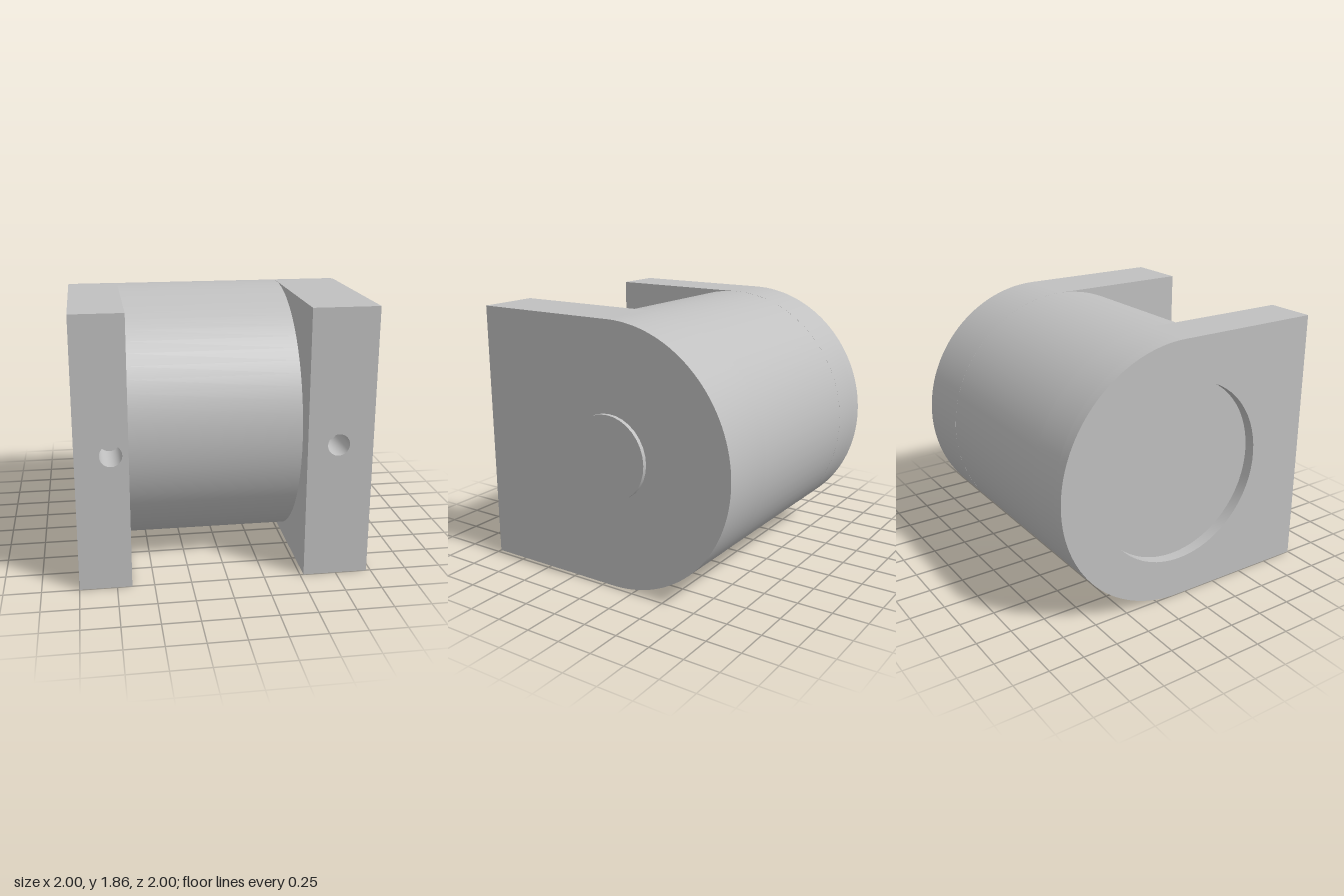
import * as THREE from 'three';
import { toCreasedNormals } from 'three/addons/utils/BufferGeometryUtils.js';

const R = 0.928, CY = 0.928, CZ = -0.07; // barrel radius and axis
const SPLIT = 0.7;                       // z where the drilled front blocks begin

export function createModel() {
  const group = new THREE.Group();
  const grey = new THREE.MeshStandardMaterial({ color: 0xc0c0c0 });
  grey.name = 'greyMetal';

  const add = (name, geometry, parent = group) => {
    const mesh = new THREE.Mesh(geometry, grey);
    mesh.name = name;
    parent.add(mesh);
    return mesh;
  };

  const circle = (x, y, r) => {
    const path = new THREE.Path();
    path.absarc(x, y, r, 0, Math.PI * 2, true);
    return path;
  };

  // D-shaped plate in the side plane, extruded along x from x0 to x1
  const plateGeometry = (x0, x1, holeRadius = 0) => {
    const s = new THREE.Shape();
    s.moveTo(-SPLIT, 0);
    s.lineTo(-CZ, 0);
    s.absarc(-CZ, CY, R, -Math.PI / 2, Math.PI / 2, false);
    s.lineTo(-SPLIT, 2 * R);
    s.closePath();
    if (holeRadius) s.holes.push(circle(-CZ, CY, holeRadius));
    const g = new THREE.ExtrudeGeometry(s, { depth: x1 - x0, bevelEnabled: false, curveSegments: 32 });
    g.rotateY(Math.PI / 2).translate(x0, 0, 0);
    return toCreasedNormals(g, 0.5);
  };

  // Front block of a plate, with a blind screw hole facing forward
  const blockGeometry = (x0, x1, holeX) => {
    const s = new THREE.Shape();
    s.moveTo(x0, 0);
    s.lineTo(x1, 0);
    s.lineTo(x1, 2 * R);
    s.lineTo(x0, 2 * R);
    s.closePath();
    s.holes.push(circle(holeX, 0.935, 0.075));
    const g = new THREE.ExtrudeGeometry(s, { depth: 1 - SPLIT, bevelEnabled: false, curveSegments: 12 });
    g.translate(0, 0, SPLIT);
    return toCreasedNormals(g, 0.7);
  };

  // Right cheek, with a wide shallow recess in its outer face
  const right = new THREE.Group();
  right.name = 'rightCheek';
  add('rightRecessRim', plateGeometry(-1, -0.92, 0.64), right);
  add('rightPlate', plateGeometry(-0.92, -0.65), right);
  add('rightFrontBlock', blockGeometry(-1, -0.65, -0.765), right);

  // Left cheek
  const left = new THREE.Group();
  left.name = 'leftCheek';
  add('leftPlate', plateGeometry(0.525, 0.97), left);
  add('leftFrontBlock', blockGeometry(0.525, 0.97, 0.735), left);
  group.add(right, left);

  // Barrel between the cheeks
  const barrel = new THREE.CylinderGeometry(R, R, 1.175, 64, 1, true);
  barrel.rotateZ(-Math.PI / 2);
  add('barrel', barrel).position.set(-0.0625, CY, CZ);

  // Raised round boss on the left face
  const boss = new THREE.CylinderGeometry(0.297, 0.297, 0.04, 32);
  boss.rotateZ(-Math.PI / 2);
  add('boss', boss).position.set(0.98, 0.935, CZ + 0.005);

  return group;
}
